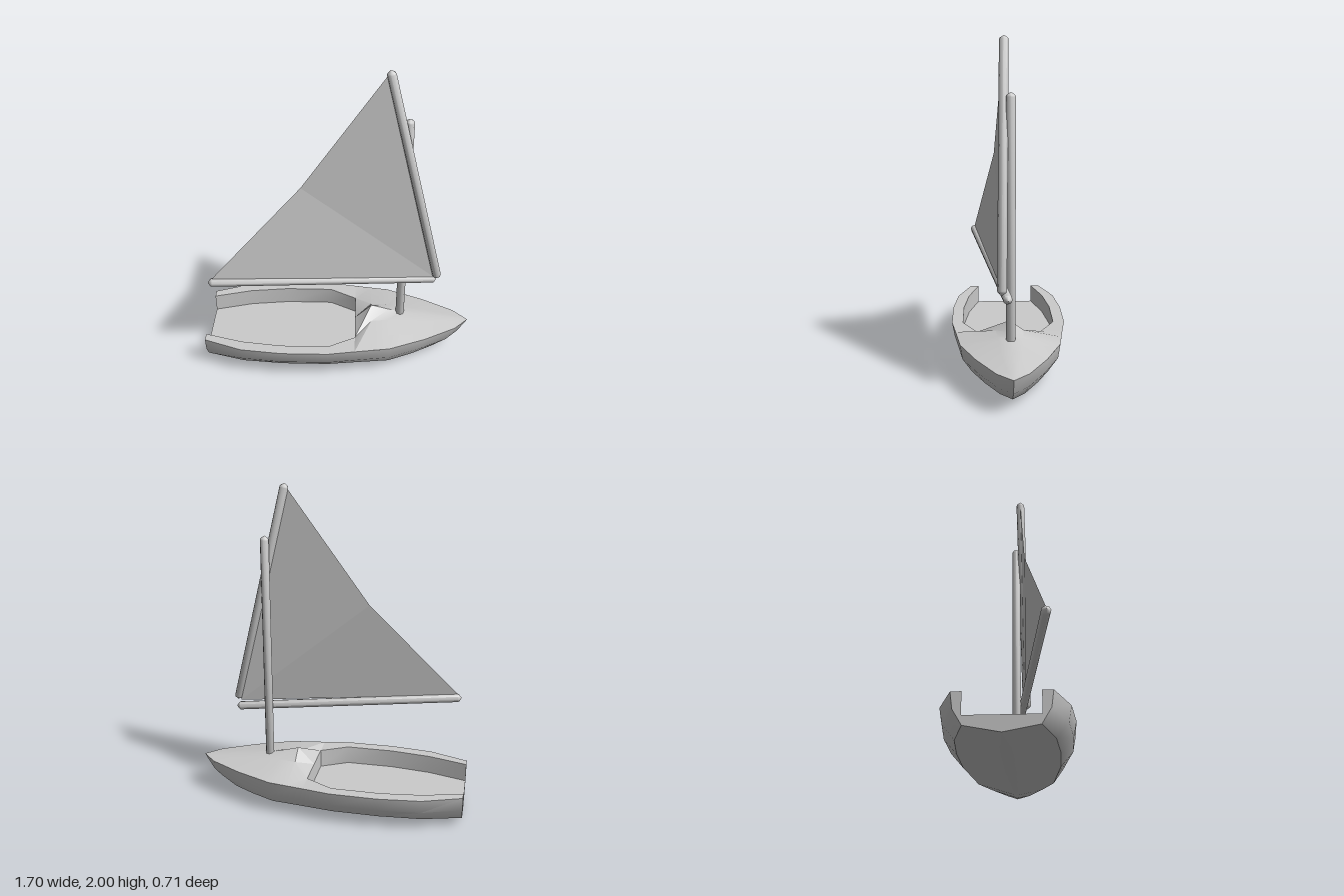
import * as THREE from 'three';
import { toCreasedNormals } from 'three/addons/utils/BufferGeometryUtils.js';

const RIM = 0.222, FLOOR = 0.105;

function mesh(name, geometry, parent) {
  const material = new THREE.MeshStandardMaterial({ color: 0xcccccc, side: THREE.DoubleSide });
  const m = new THREE.Mesh(geometry, material);
  m.name = name;
  parent.add(m);
  return m;
}

// Skin a list of rows of [x, y, z] points, leaving out collapsed triangles
function loft(rows, crease = 0.5) {
  const pos = [];
  const v = (p) => new THREE.Vector3(...p);
  const tri = (a, b, c) => {
    const area = v(b).sub(v(a)).cross(v(c).sub(v(a))).length();
    if (area > 1e-7) pos.push(...a, ...b, ...c);
  };
  for (let i = 0; i < rows.length - 1; i++) {
    for (let j = 0; j < rows[i].length - 1; j++) {
      const a = rows[i][j], b = rows[i][j + 1], c = rows[i + 1][j + 1], d = rows[i + 1][j];
      tri(a, b, d);
      tri(b, c, d);
    }
  }
  const g = new THREE.BufferGeometry();
  g.setAttribute('position', new THREE.Float32BufferAttribute(pos, 3));
  return toCreasedNormals(g, crease);
}

// Round pole between two points with small pointed ends
function spar(name, from, to, radius, parent) {
  const a = new THREE.Vector3(...from), b = new THREE.Vector3(...to);
  const dir = b.clone().sub(a), h = dir.length(), tip = 0.015;
  const profile = [[0, 0], [radius * 0.8, tip], [radius, tip * 1.6],
    [radius, h - tip * 1.6], [radius * 0.8, h - tip], [0, h]].map((p) => new THREE.Vector2(...p));
  const g = toCreasedNormals(new THREE.LatheGeometry(profile, 8).toNonIndexed(), 0.85);
  const m = mesh(name, g, parent);
  m.position.copy(a);
  m.quaternion.setFromUnitVectors(new THREE.Vector3(0, 1, 0), dir.normalize());
}

export function createModel() {
  const boat = new THREE.Group();
  boat.name = 'sailboat';

  // Hull stations: x and half width at the gunwale
  const stations = [[-0.85, 0.245], [-0.61, 0.33], [-0.35, 0.357], [-0.06, 0.355],
    [0.11, 0.328], [0.33, 0.295], [0.56, 0.2], [0.76, 0.09], [0.85, 0]];
  // Levels from gunwale to keel: height, width factor, forward end at the stem
  const levels = [[RIM, 1, 0.85], [0.135, 0.955, 0.79], [0.055, 0.76, 0.68], [0.005, 0, 0.53]];
  const section = ([x, w]) => {
    const half = levels.map(([y, k, end], i) => {
      const t = Math.max(0, (x - 0.33) / 0.52);
      const px = t > 0 ? 0.33 + t * (end - 0.33) : x;
      // keel lifts a little towards the stern, chine rises at the stem
      const py = i === 3 ? y + 0.015 * Math.max(0, -x / 0.85)
        : i === 2 ? y - 0.015 * t * t : y - (i === 1 ? 0.015 * t * t : 0);
      return [px, py, w * k];
    });
    return [...half, ...half.slice(0, 3).reverse().map(([a, b, c]) => [a, b, -c])];
  };
  mesh('hull', loft(stations.map(section), 0.6), boat);

  // Cockpit rim along both sides
  const inner = [[-0.85, 0.19], [-0.61, 0.255], [-0.36, 0.285], [-0.06, 0.285], [0.11, 0.195]];
  for (const s of [1, -1]) {
    const rows = inner.map(([x, w], i) => {
      const row = [[x, RIM, s * w], [stations[i][0], RIM, s * stations[i][1]]];
      return s > 0 ? row : row.reverse();
    });
    mesh(s > 0 ? 'frontRim' : 'backRim', loft(rows), boat);
  }

  // Cockpit walls, open at the stern, and floor
  const path = [...inner, ...inner.slice().reverse().map(([x, w]) => [x, -w])];
  mesh('cockpitWall', loft(path.map(([x, z]) => [[x, FLOOR, z], [x, RIM, z]])), boat);
  const floor = new THREE.ShapeGeometry(new THREE.Shape(path.map(([x, z]) => new THREE.Vector2(x, -z))));
  mesh('cockpitFloor', floor.rotateX(-Math.PI / 2).translate(0, FLOOR, 0), boat);

  // Transom with a notch down to the floor
  const outline = section(stations[0]).map(([, y, z]) => new THREE.Vector2(z, y));
  const notch = [[-0.19, RIM], [-0.19, FLOOR], [0.19, FLOOR], [0.19, RIM]].map((p) => new THREE.Vector2(...p));
  const transom = new THREE.ShapeGeometry(new THREE.Shape([...outline, ...notch]));
  mesh('transom', transom.rotateY(-Math.PI / 2).translate(-0.85, 0, 0), boat);

  // Crowned foredeck with a peaked ridge: x, centre y, shoulder z, shoulder y, edge z
  const deck = [[0.11, RIM, 0.195, RIM, 0.328], [0.215, 0.33, 0.085, 0.268, 0.312],
    [0.33, 0.298, 0.075, 0.272, 0.295], [0.4, 0.282, 0.07, 0.269, 0.266],
    [0.56, 0.261, 0.06, 0.252, 0.2], [0.76, 0.234, 0.03, 0.231, 0.09], [0.85, RIM, 0, RIM, 0]];
  mesh('foredeck', loft(deck.map(([x, y, sz, sy, w]) =>
    [[x, RIM, -w], [x, sy, -sz], [x, y, 0], [x, sy, sz], [x, RIM, w]]), 0.4), boat);

  // Mast, boom and yard
  spar('mast', [0.402, 0.2, 0], [0.402, 1.695, 0], 0.027, boat);
  spar('boom', [-0.795, 0.672, 0.218], [0.62, 0.579, 0.02], 0.027, boat);
  spar('yard', [0.28, 2.0, 0.035], [0.622, 0.612, 0.056], 0.027, boat);

  // Sail with a slightly hollow trailing edge
  const peak = [0.275, 1.98, 0.036], tack = [0.6, 0.61, 0.045];
  const clew = [-0.775, 0.69, 0.214], leech = [-0.22, 1.28, 0.085];
  const sail = new THREE.BufferGeometry();
  sail.setAttribute('position', new THREE.Float32BufferAttribute(
    [...peak, ...leech, ...tack, ...leech, ...clew, ...tack], 3));
  sail.computeVertexNormals();
  mesh('sail', sail, boat);

  return boat;
}
